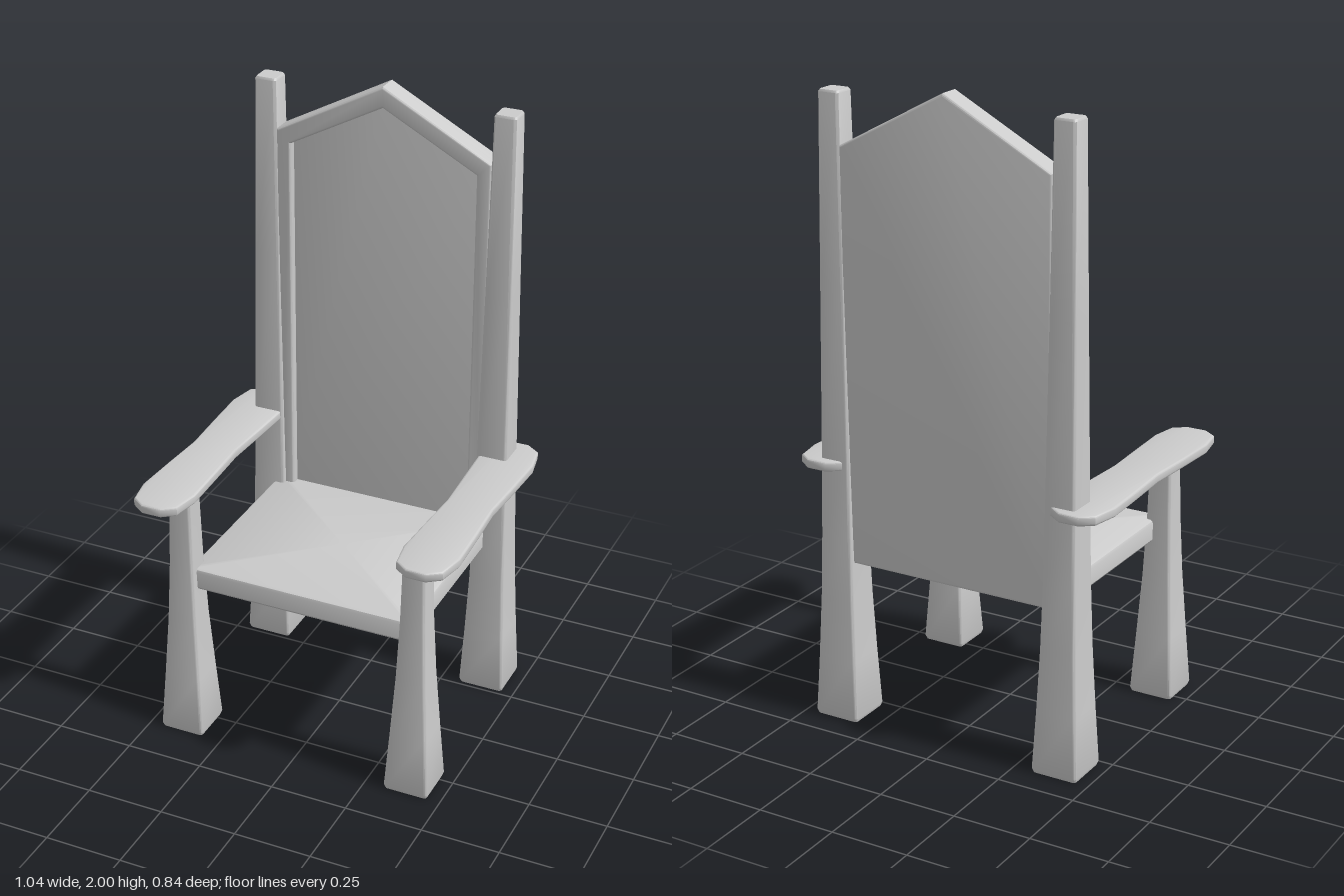
import * as THREE from 'three';
import { toCreasedNormals } from 'three/addons/utils/BufferGeometryUtils.js';

const material = new THREE.MeshStandardMaterial({ color: 0xcccccc, side: THREE.DoubleSide });

function makeMesh(name, geometry, crease = 0.6) {
  const mesh = new THREE.Mesh(toCreasedNormals(geometry, crease), material);
  mesh.name = name;
  return mesh;
}

// Rounded-rectangle rings [y, halfX, halfZ] joined upwards; closed on top, open below
function loft(rings, radius) {
  const positions = [], index = [], steps = 3, n = 4 * (steps + 1);
  for (const [y, hx, hz = hx] of rings) {
    for (let corner = 0; corner < 4; corner++) {
      const mid = (corner + 0.5) * Math.PI / 2;
      const sx = Math.sign(Math.cos(mid)), sz = Math.sign(Math.sin(mid));
      for (let s = 0; s <= steps; s++) {
        const a = (corner + s / steps) * Math.PI / 2;
        positions.push(sx * (hx - radius) + radius * Math.cos(a), y, sz * (hz - radius) + radius * Math.sin(a));
      }
    }
  }
  for (let i = 0; i < rings.length - 1; i++) {
    for (let j = 0; j < n; j++) {
      const p = i * n + j, q = i * n + (j + 1) % n;
      index.push(p, p + n, q, q, p + n, q + n);
    }
  }
  const last = (rings.length - 1) * n, centre = rings.length * n;
  positions.push(0, rings[rings.length - 1][0], 0);
  for (let j = 0; j < n; j++) index.push(centre, last + (j + 1) % n, last + j);
  const geometry = new THREE.BufferGeometry();
  geometry.setAttribute('position', new THREE.Float32BufferAttribute(positions, 3));
  geometry.setIndex(index);
  return geometry;
}

// Extrusion with softened edges that keeps the given outline and total depth
function softExtrude(shape, depth, bevel) {
  return new THREE.ExtrudeGeometry(shape, {
    depth: depth - 2 * bevel, bevelEnabled: true, bevelSize: bevel,
    bevelThickness: bevel, bevelOffset: -bevel, bevelSegments: 3,
  }).translate(0, 0, bevel);
}

// Pointed, house-shaped outline of the back
const gable = (half, bottom, shoulder, peak) =>
  [[-half, bottom], [half, bottom], [half, shoulder], [0, peak], [-half, shoulder]]
    .map(([x, y]) => new THREE.Vector2(x, y));

export function createModel() {
  const chair = new THREE.Group();
  chair.name = 'highBackArmchair';

  // Flared front legs and tall back posts
  const frontRings = [[0, 0.069], [0.012, 0.073], [0.2, 0.061], [0.4, 0.049], [0.6, 0.041], [0.83, 0.036]];
  const backRings = [[0, 0.072], [0.012, 0.076], [0.2, 0.067], [0.4, 0.059], [0.6, 0.054],
    [0.85, 0.05], [1.4, 0.043], [1.963, 0.036], [1.97, 0.032]];

  // Waisted armrest outline: outer side forwards, inner side back
  const armHalf = [[0.505, 0], [0.514, 0.15], [0.521, 0.3], [0.504, 0.388], [0.463, 0.418],
    [0.399, 0.418], [0.358, 0.388], [0.343, 0.3], [0.35, 0.15], [0.358, 0]];
  const armBack = armHalf.slice(1, -1).reverse().map(([x, z]) => [x, -z]);

  for (const [side, sign] of [['left', 1], ['right', -1]]) {
    const frontLeg = makeMesh(side + 'FrontLeg', loft(frontRings, 0.01));
    frontLeg.position.set(sign * 0.386, 0, 0.289);

    const backPost = makeMesh(side + 'BackPost', loft(backRings, 0.01));
    backPost.position.set(sign * 0.386, 0, -0.337);

    const outline = [...armHalf, ...armBack].map(([x, z]) => new THREE.Vector2(sign * x, z));
    const armrest = makeMesh(side + 'Armrest',
      softExtrude(new THREE.Shape(outline), 0.03, 0.006).rotateX(Math.PI / 2), 0.7);
    armrest.position.y = 0.848;

    chair.add(frontLeg, backPost, armrest);
  }

  // Seat: a soft-edged shell, hollow underneath
  const seat = makeMesh('seat', loft([
    [0.514, 0.364, 0.319], [0.522, 0.37, 0.325], [0.573, 0.37, 0.325],
    [0.582, 0.367, 0.322], [0.586, 0.36, 0.315],
  ], 0.01));
  seat.position.z = -0.02;
  chair.add(seat);

  // Back: a solid panel with a raised rim in front
  const panel = makeMesh('backPanel', softExtrude(new THREE.Shape(gable(0.35, 0.52, 1.813, 2)), 0.05, 0.008));
  panel.position.z = -0.376;

  const rimShape = new THREE.Shape(gable(0.35, 0.52, 1.813, 2));
  rimShape.holes.push(new THREE.Path(gable(0.303, 0.57, 1.772, 1.933)));
  const rim = makeMesh('backRim', softExtrude(rimShape, 0.06, 0.008));
  rim.position.z = -0.36;
  chair.add(panel, rim);

  return chair;
}
